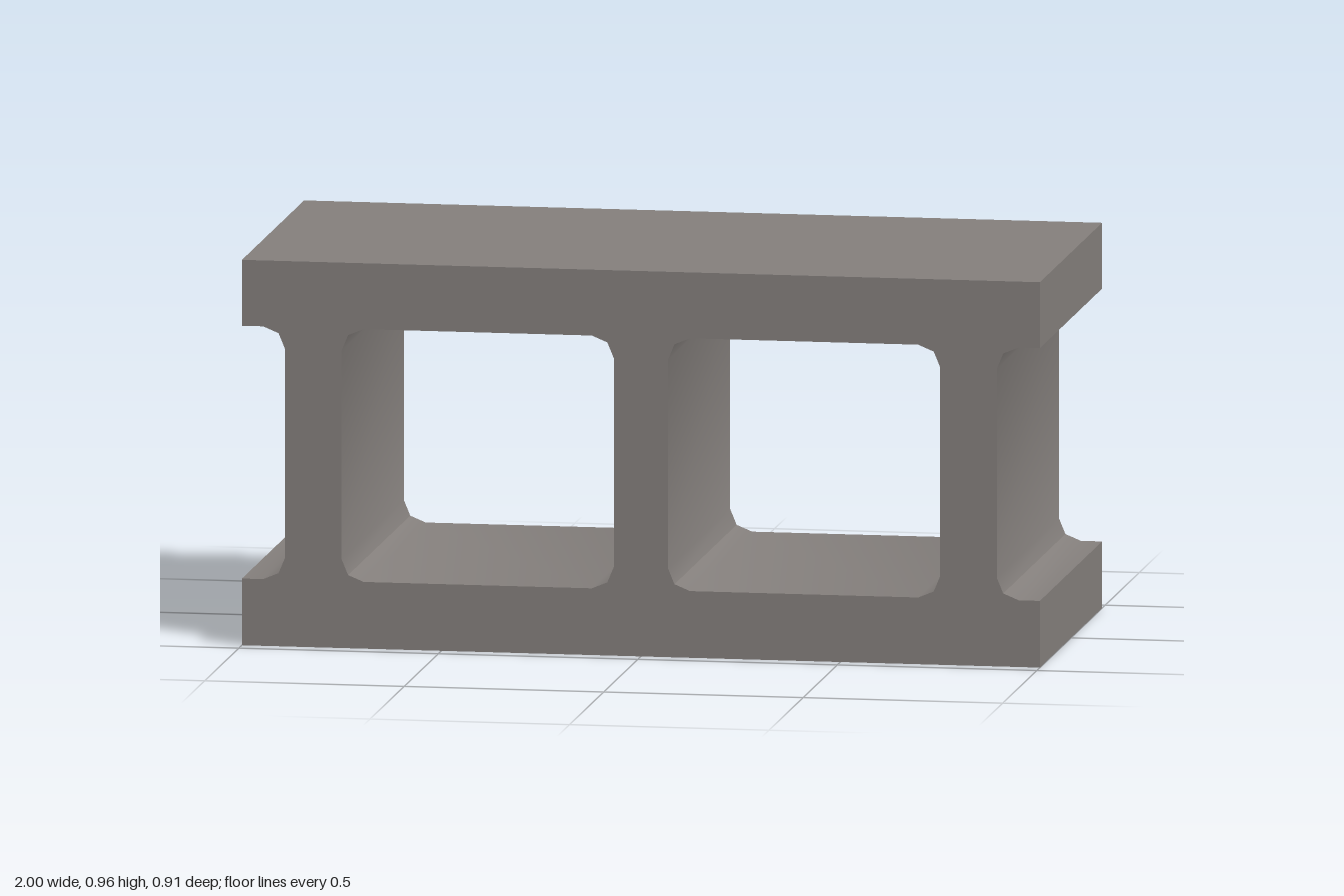
import * as THREE from 'three';
import { toCreasedNormals } from 'three/addons/utils/BufferGeometryUtils.js';

const HEIGHT = 0.965, DEPTH = 0.91;
const LOW = 0.167, HIGH = 0.8; // inner faces of the bottom and top slabs
const WEB = 0.068, WALL_IN = 0.75, WALL_OUT = 0.892; // middle web and end walls
const R = 0.055, MID = 0.0161; // fillet size and inset of its middle point

// two-segment fillet at corner (x, y), opening towards (sx, sy), starting on the slab
function fillet(x, y, sx, sy) {
  return [[x + sx * R, y], [x + sx * MID, y + sy * MID], [x, y + sy * R]];
}

const toPoints = (list) => list.map(([x, y]) => new THREE.Vector2(x, y));

// rectangular core with filleted corners
function core(x0, x1) {
  return new THREE.Path(toPoints([
    ...fillet(x0, LOW, 1, 1),
    ...fillet(x0, HIGH, 1, -1).reverse(),
    ...fillet(x1, HIGH, -1, -1),
    ...fillet(x1, LOW, -1, 1).reverse(),
  ]));
}

export function createModel() {
  const concrete = new THREE.MeshStandardMaterial({ color: 0x847f7c });
  concrete.name = 'concrete grey';

  // outline of the block, with a recess in each end
  const rightEnd = [
    [1, 0], [1, LOW],
    ...fillet(WALL_OUT, LOW, 1, 1),
    ...fillet(WALL_OUT, HIGH, 1, -1).reverse(),
    [1, HIGH], [1, HEIGHT],
  ];
  const leftEnd = rightEnd.map(([x, y]) => [-x, y]).reverse();
  const outline = new THREE.Shape(toPoints([...rightEnd, ...leftEnd]));

  // two through cores
  outline.holes.push(core(WEB, WALL_IN), core(-WALL_IN, -WEB));

  const geometry = new THREE.ExtrudeGeometry(outline, { depth: DEPTH, bevelEnabled: false });
  geometry.translate(0, 0, -DEPTH / 2);

  const block = new THREE.Mesh(toCreasedNormals(geometry, 0.7), concrete);
  block.name = 'hollowBlock';

  const group = new THREE.Group();
  group.name = 'concreteBlock';
  group.add(block);
  return group;
}
